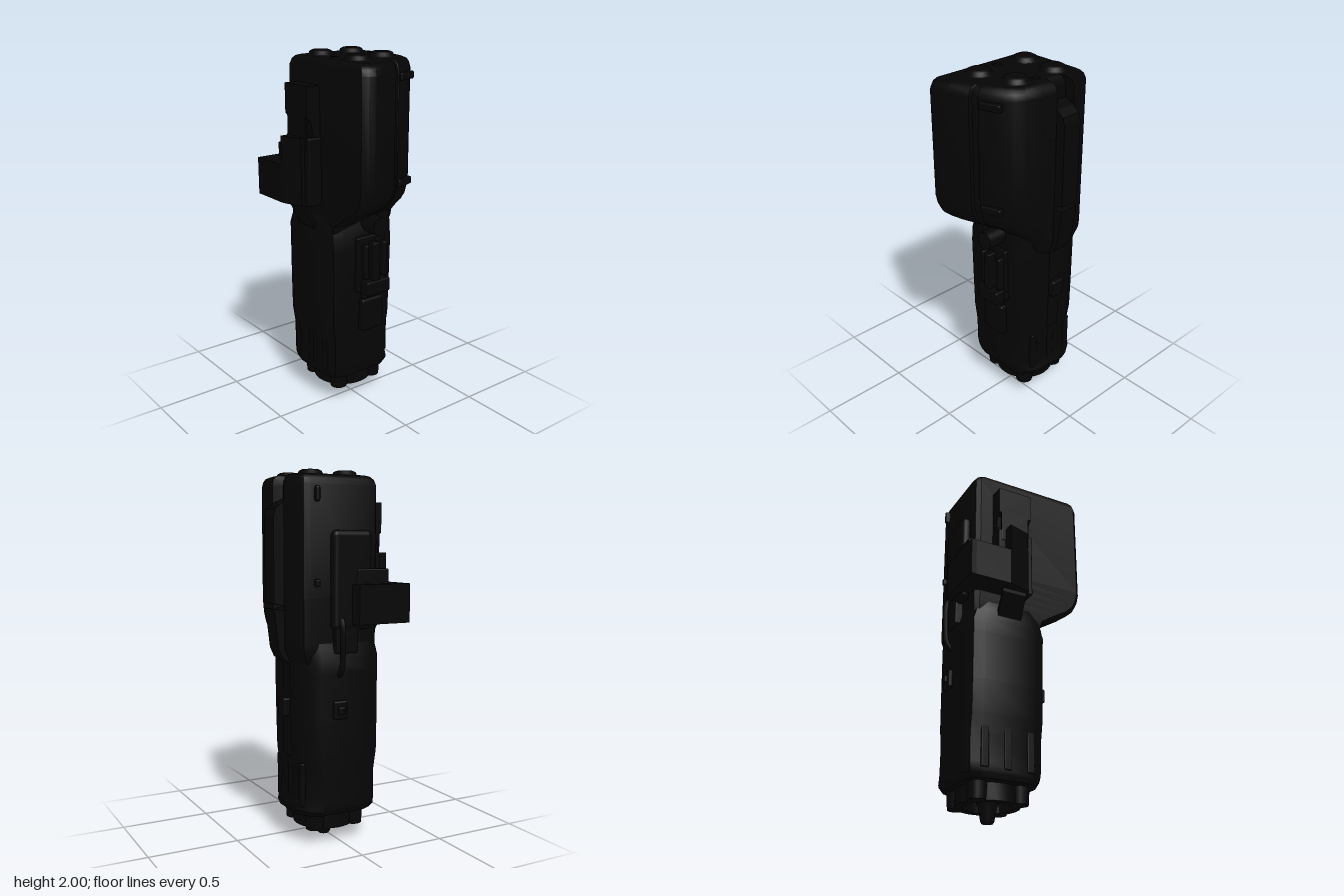
import * as THREE from 'three';
import { toCreasedNormals } from 'three/addons/utils/BufferGeometryUtils.js';
import { RoundedBoxGeometry } from 'three/addons/geometries/RoundedBoxGeometry.js';

const black = new THREE.MeshStandardMaterial({ color: 0x050505 });
black.name = 'matte black';

// Loft through rings of [x, y, z] points, closed at both ends around a centre
function loft(rings, cx, cz) {
  const n = rings[0].length, idx = [];
  const pole = ring => [cx, ring[0][1], cz];
  const pos = [...rings.flat(), pole(rings[0]), pole(rings.at(-1))].flat();
  const last = (rings.length - 1) * n, bottom = last + n, top = bottom + 1;
  for (let i = 0; i < n; i++) {
    const j = (i + 1) % n;
    for (let a = 0; a < last; a += n) idx.push(a + i, a + j, a + n + i, a + j, a + n + j, a + n + i);
    idx.push(bottom, j, i, top, last + i, last + j);
  }
  const g = new THREE.BufferGeometry();
  g.setAttribute('position', new THREE.Float32BufferAttribute(pos, 3));
  g.setIndex(idx);
  return toCreasedNormals(g, 0.6);
}

export function createModel() {
  const group = new THREE.Group();
  const add = (name, geometry, x = 0, y = 0, z = 0) => {
    const mesh = new THREE.Mesh(geometry, black);
    mesh.name = name;
    mesh.position.set(x, y, z);
    group.add(mesh);
    return mesh;
  };
  // Soft-edged box given by its limits
  const box = (name, x0, x1, y0, y1, z0, z1, r = 0.008) =>
    add(name, new RoundedBoxGeometry(x1 - x0, y1 - y0, z1 - z0, 2, r),
      (x0 + x1) / 2, (y0 + y1) / 2, (z0 + z1) / 2);
  const extrude = (pts, depth) => new THREE.ExtrudeGeometry(
    new THREE.Shape(pts.map(p => new THREE.Vector2(...p))), { depth, bevelEnabled: false });
  // Side profile in (z, y), extruded across x
  const sideProfile = (name, pts, x0, x1) =>
    add(name, extrude(pts.map(([z, y]) => [-z, y]), x1 - x0).rotateY(Math.PI / 2), x0, 0, 0);
  // Plan outline in (x, z), extruded upwards
  const planProfile = (name, pts, y0, y1) =>
    add(name, extrude(pts.map(([x, z]) => [x, -z]), y1 - y0).rotateX(-Math.PI / 2), 0, y0, 0);
  const lathe = (pts, sides) => new THREE.LatheGeometry(pts.map(p => new THREE.Vector2(...p)), sides);

  // Upper housing: slanted outline with a channel in the back, narrowing towards the grip
  const outline = [[0.352, 0.207], [0.378, 0.18], [0.389, 0.145], [0.37, 0.07], [0.32, -0.04],
    [0.302, -0.044], [0.292, -0.075], [0.296, -0.08], [0.27, -0.14], [0.23, -0.21], [0.2, -0.24],
    [0.15, -0.265], [0.06, -0.281], [-0.036, -0.288], [-0.04, -0.228], [-0.156, -0.228],
    [-0.16, -0.282], [-0.25, -0.263], [-0.275, -0.25], [-0.296, -0.237], [-0.303, -0.2],
    [-0.303, 0.15], [-0.295, 0.19], [-0.27, 0.208]];
  // y, right limit, inset, depth scale
  const upper = [[1.0, 0.1, 0.015, 0.92], [1.06, 0.12, 0, 0.98], [1.1, 0.13, 0, 1], [1.16, 0.23, 0, 1],
    [1.2, 0.305, 0, 1], [1.24, 0.352, 0, 1], [1.29, 0.378, 0, 1], [1.34, 0.389, 0, 1],
    [1.92, 0.389, 0, 1], [1.95, 0.389, 0.01, 1], [1.967, 0.389, 0.025, 1], [1.975, 0.389, 0.05, 1]];
  add('upperHousing', loft(upper.map(([y, right, inset, depth]) => outline.map(([x, z]) => {
    const sx = x < -0.03 ? x : -0.03 + (x + 0.03) * (right + 0.03) / 0.419;
    const cx = (right - 0.303) / 2, k = 1 - inset / 0.3;
    return [cx + (sx - cx) * k, y, -0.03 + (z + 0.03) * k * depth];
  })), -0.09, -0.03));

  // Lower grip: chamfered column with stepped waist
  const grip = [[0.17, 0.3, 0.105, 0.2, -0.235], [0.2, 0.322, 0.12, 0.213, -0.243],
    [0.25, 0.325, 0.128, 0.213, -0.225], [0.4, 0.325, 0.13, 0.213, -0.222],
    [0.5, 0.325, 0.132, 0.228, -0.238], [0.68, 0.325, 0.135, 0.23, -0.241],
    [0.95, 0.325, 0.14, 0.23, -0.243], [1.03, 0.325, 0.135, 0.23, -0.243],
    [1.09, 0.305, 0.12, 0.225, -0.25], [1.16, 0.295, 0.11, 0.2, -0.26]];
  add('grip', loft(grip.map(([y, l, r, f, b]) => {
    const c = 0.05, d = 0.025, e = 0.08;
    return [[r - e, f], [r - d, f - d], [r, f - e], [r, b + 2 * c], [r - d, b + c], [r - 2 * c, b],
      [-l + 2 * c, b], [-l + d, b + c], [-l, b + 2 * c], [-l, f - e], [-l + d, f - d], [-l + e, f]]
      .map(([x, z]) => [x, y, z]);
  }), -0.1, -0.01));
  for (const x of [-0.23, -0.1, 0.03]) {
    box('gripRib', x - 0.022, x + 0.022, 0.22, 0.46, 0.19, 0.218);
    box('gripRib', x - 0.022, x + 0.022, 0.22, 0.46, -0.23, -0.2);
  }
  box('backRib', -0.14, -0.06, 0.48, 1.02, -0.247, -0.2);

  // Foot: hollow collar with four corner lugs and a tapered tip
  add('footCollar', toCreasedNormals(lathe([[0.12, 0.19], [0.13, 0.08], [0.17, 0.08], [0.17, 0.19]], 32), 0.6),
    -0.1, 0, -0.015);
  for (const sx of [-1, 1]) {
    for (const sz of [-1, 1]) {
      add('footLug', new THREE.CylinderGeometry(0.055, 0.048, 0.12, 16),
        -0.1 + sx * 0.12, 0.14, -0.015 + sz * 0.12);
    }
  }
  add('footTip', lathe([[0, 0], [0.03, 0], [0.036, 0.01], [0.048, 0.08], [0.065, 0.12], [0.09, 0.18]], 24),
    -0.1, 0, -0.015);

  // Four domed caps on the top
  const cap = [[0.082, 0], [0.078, 0.006], [0.066, 0.01], [0.06, 0.024], [0.046, 0.031], [0, 0.031]];
  for (const [x, z] of [[-0.165, -0.13], [0.095, -0.13], [-0.165, 0.075], [0.15, 0.075]]) {
    add('topCap', lathe(cap, 28), x, 1.969, z);
  }
  for (const z of [-0.17, 0.105]) box('topTab', -0.02, 0.02, 1.965, 1.979, z - 0.018, z + 0.018, 0.004);

  // Front panel, its raised stop and the side-wrapping block
  box('frontPanel', -0.195, 0.013, 1.2, 1.57, 0.2, 0.288);
  sideProfile('frontPanelHead', [[0.2, 1.84], [0.29, 1.84], [0.29, 1.68], [0.268, 1.66],
    [0.255, 1.6], [0.23, 1.52], [0.2, 1.52]], -0.195, 0.005);
  box('frontPanelRail', -0.18, -0.01, 1.5, 1.7, 0.276, 0.29, 0.004);
  planProfile('frontStop', [[-0.155, 0.27], [-0.025, 0.27], [-0.025, 0.31], [-0.155, 0.35]], 1.21, 1.57);
  planProfile('wrapBlock', [[-0.39, 0.04], [-0.36, 0.02], [-0.29, 0.02], [-0.29, 0.2], [-0.025, 0.2],
    [-0.025, 0.31], [-0.155, 0.35], [-0.36, 0.35], [-0.39, 0.352]], 1.2, 1.41);
  box('wrapBlockStep', -0.355, -0.28, 1.4, 1.49, 0.05, 0.24);
  sideProfile('frontBrace', [[0.29, 1.22], [0.275, 1.22], [0.272, 1.18], [0.215, 1.08],
    [0.215, 1.05], [0.228, 1.06], [0.288, 1.18]], -0.17, -0.03);

  // Side rail, handle loop and knobs on the -x side
  box('sideRail', -0.35, -0.29, 1.17, 1.69, -0.09, 0.145, 0.03);
  const loop = new THREE.CatmullRomCurve3([[-0.33, 1.24], [-0.355, 1.2], [-0.355, 1.02],
    [-0.347, 0.97], [-0.315, 0.93]].map(([x, y]) => new THREE.Vector3(x, y, -0.04)));
  add('sideLoop', new THREE.TubeGeometry(loop, 24, 0.015, 8));
  box('sideLoopMount', -0.345, -0.28, 1.05, 1.2, -0.07, 0.06);
  box('sideKnob', -0.36, -0.3, 0.73, 0.77, -0.06, -0.02);
  box('sideKnob', -0.345, -0.3, 0.7, 0.8, -0.08, 0, 0.01);
  box('sidePin', -0.33, -0.29, 1.83, 1.91, -0.18, -0.155, 0.012);
  box('sidePin', -0.33, -0.29, 1.4, 1.44, -0.18, -0.155);

  // Back spine, flap and button
  sideProfile('backSpine', [[-0.22, 1.86], [-0.285, 1.83], [-0.325, 1.8], [-0.338, 1.76],
    [-0.338, 1.31], [-0.285, 1.295], [-0.22, 1.295]], -0.155, -0.041);
  sideProfile('backFlap', [[-0.22, 1.285], [-0.285, 1.275], [-0.338, 1.28], [-0.312, 1.07],
    [-0.29, 1.02], [-0.25, 0.99], [-0.22, 0.99]], -0.154, -0.042);
  box('backButton', -0.14, -0.06, 0.7, 0.8, -0.28, -0.22, 0.01);

  // Paired tabs on the slanted +x side
  for (const y of [1.89, 1.33]) {
    box('slantTab', 0.23, 0.29, y - 0.02, y + 0.02, -0.2, -0.08).rotation.y = 0.3;
  }

  // Lever mechanism on the +x side of the grip
  const pivot = add('leverPivot', new THREE.CylinderGeometry(0.052, 0.052, 0.13, 28), 0.165, 1.085, -0.03);
  pivot.rotation.z = Math.PI / 2;
  box('leverPlate', 0.11, 0.16, 0.7, 1.02, -0.12, 0.075);
  box('leverArm', 0.14, 0.21, 0.72, 0.99, -0.045, 0.0);
  box('leverGuide', 0.14, 0.195, 0.78, 0.98, -0.11, -0.08);
  box('leverGuide', 0.14, 0.195, 0.78, 0.98, 0.02, 0.045);
  box('leverFoot', 0.12, 0.218, 0.69, 0.77, -0.11, 0.05);
  box('leverNeck', 0.11, 0.15, 0.63, 0.71, -0.08, 0.03);
  box('lowerPad', 0.11, 0.17, 0.46, 0.65, -0.1, 0.045, 0.012);
  return group;
}
